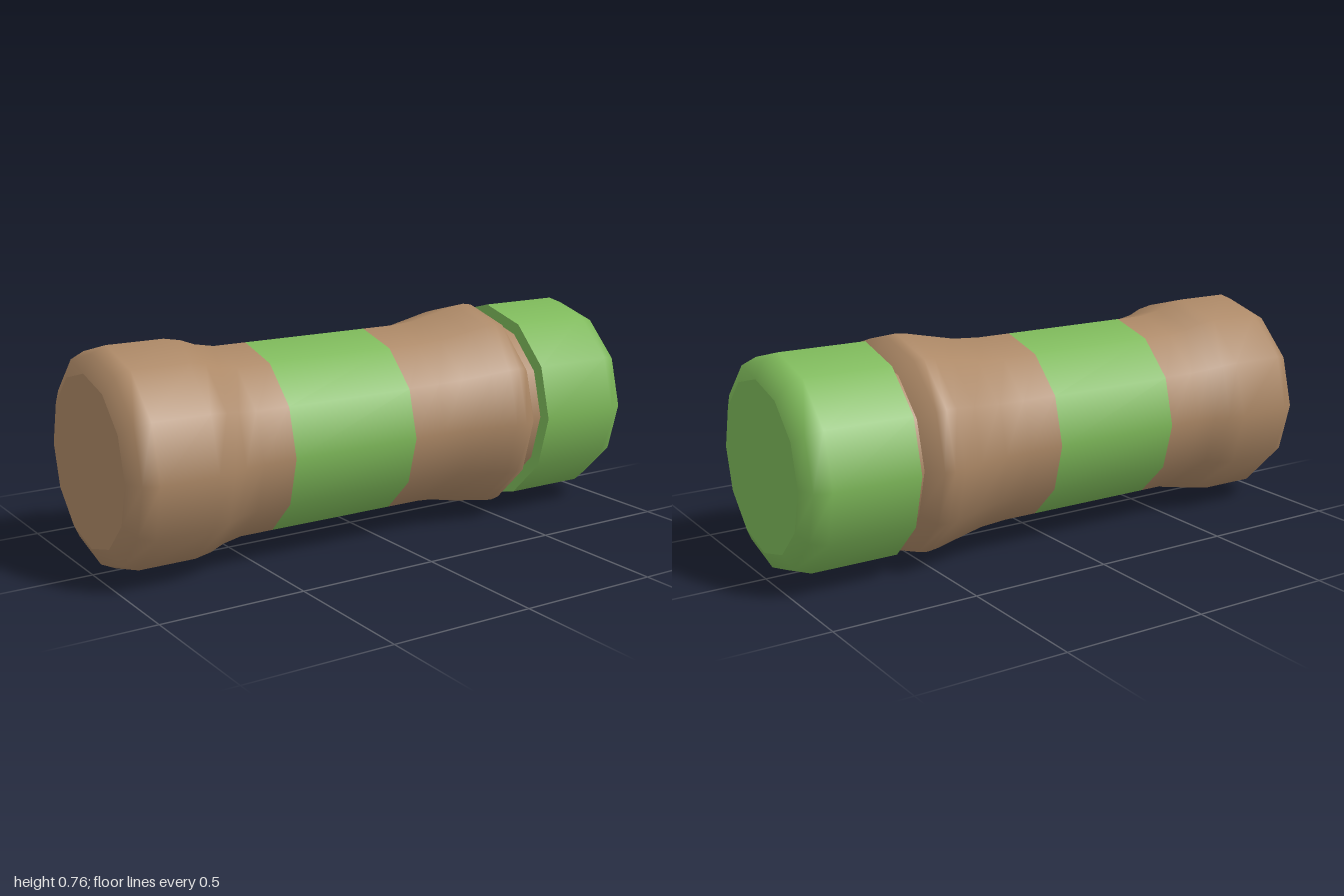
import * as THREE from 'three';

const SIDES = 12;
const AXIS_HEIGHT = 0.38;
const brown = new THREE.MeshStandardMaterial({ color: 0xab8765 });
const green = new THREE.MeshStandardMaterial({ color: 0x7db859 });

// Revolves an [x, radius] profile around the horizontal x axis.
function turned(name, material, profile) {
  const points = profile.map(([x, r]) => new THREE.Vector2(r, x));
  const geometry = new THREE.LatheGeometry(points, SIDES);
  geometry.rotateZ(-Math.PI / 2);
  const mesh = new THREE.Mesh(geometry, material);
  mesh.name = name;
  mesh.position.y = AXIS_HEIGHT;
  return mesh;
}

export function createModel() {
  const model = new THREE.Group();
  model.name = 'flask';

  // Body: rounded base, slim grip with a coloured band, flared shoulder
  model.add(turned('baseEnd', brown, [[-1, 0], [-1, 0.29]]));
  model.add(turned('base', brown, [
    [-1, 0.29], [-0.97, 0.35], [-0.92, 0.373], [-0.72, 0.373],
    [-0.66, 0.362], [-0.61, 0.343], [-0.54, 0.33], [-0.42, 0.33],
  ]));
  model.add(turned('band', green, [[-0.42, 0.33], [0.055, 0.33]]));
  model.add(turned('shoulder', brown, [
    [0.055, 0.33], [0.18, 0.33], [0.28, 0.337], [0.39, 0.36],
    [0.46, 0.375], [0.5, 0.38], [0.535, 0.374], [0.58, 0.322],
  ]));
  model.add(turned('neck', brown, [[0.58, 0.322], [0.615, 0.322]]));

  // Lid: underside rim, rounded wall, flat end
  const lid = new THREE.Group();
  lid.name = 'lid';
  lid.add(turned('lidRim', green, [[0.613, 0.3], [0.613, 0.367]]));
  lid.add(turned('lidWall', green, [
    [0.613, 0.367], [0.92, 0.367], [0.975, 0.345], [1, 0.29],
  ]));
  lid.add(turned('lidEnd', green, [[1, 0.29], [1, 0]]));
  model.add(lid);

  return model;
}
